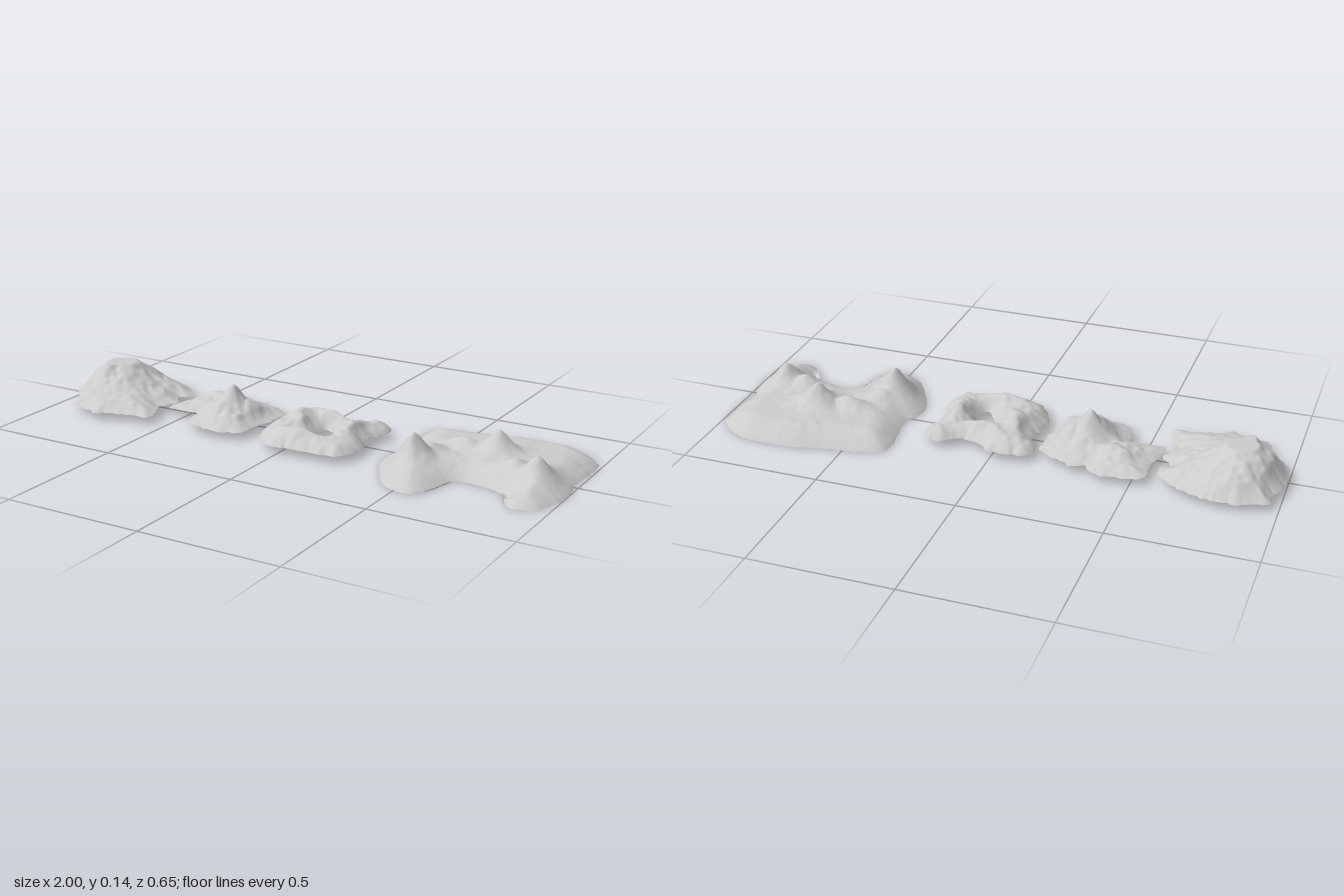
import * as THREE from 'three';

const SEGMENTS = 200, RINGS = 44;

// Smooth value noise, about -1..1
function hash(i, j) {
  const s = Math.sin(i * 127.1 + j * 311.7) * 43758.5453;
  return (s - Math.floor(s)) * 2 - 1;
}
function noise(x, z) {
  const i = Math.floor(x), j = Math.floor(z);
  const u = THREE.MathUtils.smoothstep(x - i, 0, 1), v = THREE.MathUtils.smoothstep(z - j, 0, 1);
  const { lerp } = THREE.MathUtils;
  return lerp(lerp(hash(i, j), hash(i + 1, j), u), lerp(hash(i, j + 1), hash(i + 1, j + 1), u), v);
}
const crags = (x, z) => 0.6 * noise(x * 22, z * 22) + 0.4 * noise(x * 47 + 9, z * 47);

// Closed coast line, clockwise from above, from x, z pairs in hundredths
function coast(pairs, jag) {
  const pts = [];
  for (let i = 0; i < pairs.length; i += 2) pts.push(new THREE.Vector3(pairs[i] / 100, 0, pairs[i + 1] / 100));
  const line = new THREE.CatmullRomCurve3(pts, true).getSpacedPoints(SEGMENTS).slice(0, SEGMENTS);
  line.forEach(p => {
    const { x, z } = p;
    p.x = THREE.MathUtils.clamp(x + jag * noise(x * 60, z * 60), -1, 1);
    p.z = z + jag * noise(x * 60 + 31, z * 60);
  });
  return line;
}

// Height field between a centre (or hole edge) and the coast
function terrain({ outline, centre, hole, base, shelf, width, peaks, cap = 1, rough, jag }) {
  const outer = coast(outline, jag);
  const inner = hole ? coast(hole, 0.003) : outer.map(() => new THREE.Vector3(centre[0], 0, centre[1]));
  const edges = hole ? outer.concat(inner) : outer;
  const height = (x, z) => {
    let d = Infinity;
    for (const e of edges) d = Math.min(d, Math.hypot(e.x - x, e.z - z));
    const k = Math.min(1, d / width);
    let peak = 0;
    for (const [px, pz, h, sx, sz] of peaks) {
      const q = Math.hypot((x - px) / sx, (z - pz) / sz);
      peak = Math.max(peak, h * Math.exp(-Math.pow(q, 1.6)));
    }
    const fade = Math.min(1, d / 0.05);
    const y = base + shelf * (1 - (1 - k) ** 2) + peak * fade
      + fade * crags(x, z) * (rough + peak * 0.1);
    return Math.min(cap, Math.max(base, y));
  };
  const position = [], index = [];
  for (let i = 0; i <= RINGS; i++) {
    for (let j = 0; j < SEGMENTS; j++) {
      const p = inner[j].clone().lerp(outer[j], i / RINGS);
      position.push(p.x, height(p.x, p.z), p.z);
      if (i === RINGS) continue;
      const a = i * SEGMENTS + j, c = i * SEGMENTS + (j + 1) % SEGMENTS;
      const b = a + SEGMENTS, d = c + SEGMENTS;
      index.push(a, c, b, b, c, d);
    }
  }
  const geometry = new THREE.BufferGeometry();
  geometry.setAttribute('position', new THREE.Float32BufferAttribute(position, 3));
  geometry.setIndex(index);
  geometry.computeVertexNormals();
  return { geometry, outer };
}

export function createModel() {
  const model = new THREE.Group();
  const material = new THREE.MeshStandardMaterial({ color: 0xcccccc, side: THREE.DoubleSide });
  const add = (name, geometry) => {
    const mesh = new THREE.Mesh(geometry, material);
    mesh.name = name;
    model.add(mesh);
  };

  // Flat-topped mountain island
  add('plateauIsland', terrain({
    outline: [-80, -24, -72, -23, -65, -19, -60, -15, -58, -10, -61, -6, -57, -1, -60, 6, -57, 13, -57, 20,
      -62, 19, -67, 21, -72, 22, -77, 24, -85, 21, -90, 20, -92, 13, -97, 8, -100, 0, -99, -9, -97, -16,
      -96, -20, -89, -23],
    centre: [-0.8, 0], base: 0.026, shelf: 0.027, width: 0.13, cap: 0.14, rough: 0.008, jag: 0.008,
    peaks: [[-0.85, -0.04, 0.12, 0.11, 0.13], [-0.72, -0.04, 0.03, 0.07, 0.1], [-0.77, 0.09, 0.025, 0.08, 0.06]]
  }).geometry);

  // Island with a single sharp peak
  add('peakIsland', terrain({
    outline: [-45, -20, -37, -19.5, -33, -15.5, -29, -18.5, -25, -15, -21, -14, -16, -10, -16, 0, -18, 9,
      -19, 16, -26, 19, -34, 18, -42, 16, -43, 11, -44, 6, -50, 6, -56, 5, -56, -2, -54, -7, -55, -14, -52, -19],
    centre: [-0.35, -0.02], base: 0.026, shelf: 0.022, width: 0.1, cap: 0.145, rough: 0.008, jag: 0.008,
    peaks: [[-0.305, 0.02, 0.1, 0.055, 0.07], [-0.41, -0.07, 0.032, 0.07, 0.05], [-0.25, 0.0, 0.05, 0.05, 0.06],
      [-0.27, 0.1, 0.03, 0.05, 0.05]]
  }).geometry);

  // Ring-shaped crater island
  add('craterIsland', terrain({
    outline: [-7, -17, 0, -17, 6, -13, 13, -12, 18, -16, 25, -15, 26, -8, 24, 0, 26, 11, 23, 19, 17, 21, 9, 21,
      0, 22, -7, 20, -12, 13, -13, 5, -11, -3, -14, -9, -13, -15],
    hole: [6, -2, 10, 0, 12, 4, 12, 8, 10, 10, 7, 6, 5, 3],
    base: 0.026, shelf: 0.036, width: 0.07, cap: 0.092, rough: 0.009, jag: 0.006,
    peaks: [[-0.03, 0, 0.032, 0.05, 0.08], [0.06, -0.07, 0.03, 0.06, 0.04], [0.17, 0.02, 0.025, 0.04, 0.08],
      [0.05, 0.15, 0.025, 0.07, 0.04]]
  }).geometry);

  // Large island with a bay at the front
  const large = terrain({
    outline: [37, -26, 43, -28, 57, -30, 65, -32, 75, -33, 86, -32, 93, -29, 98, -24, 99, -13, 98, -3, 100, 8,
      98, 19, 95, 25, 89, 27, 84.5, 24, 84, 20, 78, 15.5, 72, 14, 65, 14, 61.5, 20, 60, 27, 56, 31.5, 51, 32,
      43, 27, 39, 20, 35, 12, 34, 5, 37, -3, 36, -13, 35, -21],
    centre: [0.67, -0.05], base: 0, shelf: 0.047, width: 0.11, cap: 0.135, rough: 0.003, jag: 0.003,
    peaks: [[0.47, 0.12, 0.088, 0.045, 0.055], [0.49, 0.04, 0.03, 0.05, 0.05], [0.69, -0.07, 0.078, 0.055, 0.05],
      [0.58, -0.06, 0.035, 0.07, 0.035], [0.885, 0.065, 0.062, 0.045, 0.05], [0.8, 0.05, 0.035, 0.05, 0.05]]
  });
  add('bayIsland', large.geometry);

  // Flat underside of the large island
  const under = new THREE.ShapeGeometry(new THREE.Shape(large.outer.map(p => new THREE.Vector2(p.x, p.z))));
  add('bayIslandUnderside', under.rotateX(Math.PI / 2));

  return model;
}
